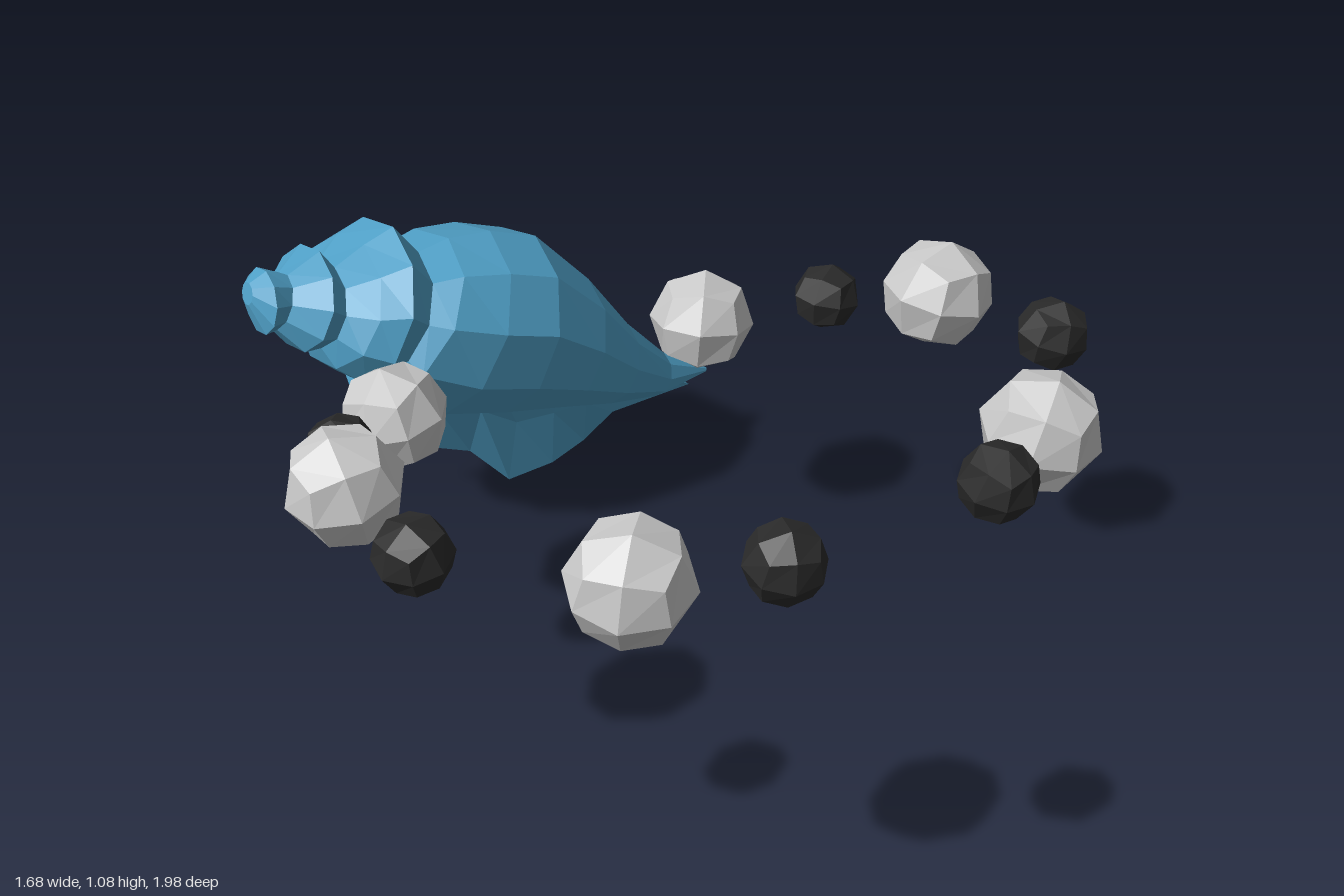
import * as THREE from 'three';

const mat = (name, color) => {
  const m = new THREE.MeshStandardMaterial({ color, flatShading: true });
  m.name = name;
  return m;
};

// Joins rings of points (ordered counter-clockwise around +x) into a faceted, capped skin
function loft(rings) {
  const pos = [];
  const tri = (...pts) => pts.forEach((p) => pos.push(p.x, p.y, p.z));
  const n = rings[0].length;
  for (let i = 0; i < rings.length - 1; i++) {
    for (let j = 0; j < n; j++) {
      const k = (j + 1) % n;
      const a = rings[i][j], b = rings[i][k], c = rings[i + 1][k], d = rings[i + 1][j];
      tri(a, b, c);
      tri(a, c, d);
    }
  }
  const first = rings[0], last = rings[rings.length - 1];
  for (let j = 1; j < n - 1; j++) {
    tri(first[0], first[j + 1], first[j]);
    tri(last[0], last[j], last[j + 1]);
  }
  const g = new THREE.BufferGeometry();
  g.setAttribute('position', new THREE.Float32BufferAttribute(pos, 3));
  g.computeVertexNormals();
  return g;
}

// Bead: a cube with 2 x 2 faces per side pushed out to a sphere
function beadGeometry(r) {
  const g = new THREE.BoxGeometry(1, 1, 1, 2, 2, 2).toNonIndexed();
  const p = g.attributes.position, v = new THREE.Vector3();
  for (let i = 0; i < p.count; i++) {
    v.fromBufferAttribute(p, i).setLength(r);
    p.setXYZ(i, v.x, v.y, v.z);
  }
  g.computeVertexNormals();
  return g;
}

export function createModel() {
  const model = new THREE.Group();
  const blue = mat('shell blue', 0x4f9fc6);
  const grey = mat('pearl grey', 0xcacaca);
  const black = mat('bead black', 0x2a2a2a);
  const add = (parent, name, geometry, material) => {
    const m = new THREE.Mesh(geometry, material);
    m.name = name;
    parent.add(m);
    return m;
  };

  // Shell sections from spire to tip: top x, top y, bottom x, bottom y, front z, back z
  const sections = [
    [-0.56, 0.82, -0.575, 0.77, -0.73, -0.79],
    [-0.52, 0.845, -0.56, 0.70, -0.66, -0.84],
    [-0.47, 0.82, -0.53, 0.70, -0.68, -0.82],
    [-0.385, 0.855, -0.49, 0.64, -0.60, -0.91],
    [-0.35, 0.80, -0.44, 0.63, -0.63, -0.89],
    [-0.27, 0.835, -0.43, 0.58, -0.56, -0.97],
    [-0.20, 0.87, -0.375, 0.53, -0.52, -0.98],
    [-0.14, 0.785, -0.33, 0.53, -0.56, -0.94],
    [-0.06, 0.80, -0.345, 0.48, -0.52, -0.98],
    [0.05, 0.79, -0.19, 0.38, -0.495, -1.0],
    [0.17, 0.745, -0.02, 0.33, -0.495, -0.99],
    [0.30, 0.60, 0.14, 0.30, -0.525, -0.90],
    [0.40, 0.45, 0.30, 0.26, -0.57, -0.81],
    [0.52, 0.315, 0.46, 0.215, -0.63, -0.785],
    [0.65, 0.23, 0.64, 0.22, -0.695, -0.715],
  ];
  const SIDES = 10;
  const rings = sections.map(([tx, ty, bx, by, zf, zb]) =>
    Array.from({ length: SIDES }, (_, j) => {
      const a = (j / SIDES) * Math.PI * 2;
      const t = (1 - Math.cos(a)) / 2;
      return new THREE.Vector3(
        tx + (bx - tx) * t, ty + (by - ty) * t,
        (zf + zb) / 2 + (Math.sin(a) * (zf - zb)) / 2);
    }));
  const shell = new THREE.Group();
  shell.name = 'shell';
  model.add(shell);
  add(shell, 'shellBody', loft(rings), blue);

  // Flared, spiky lip below the body: root x, root y, edge x, edge y, edge z
  const lip = [
    [-0.24, 0.43, -0.26, 0.33, -0.80],
    [-0.15, 0.41, -0.16, 0.265, -0.82],
    [-0.07, 0.41, -0.12, 0.145, -0.875],
    [0.02, 0.40, 0.0, 0.12, -0.82],
    [0.11, 0.38, 0.1, 0.005, -0.80],
    [0.20, 0.36, 0.21, 0.045, -0.76],
    [0.30, 0.32, 0.35, 0.02, -0.84],
    [0.39, 0.29, 0.4, 0.135, -0.77],
    [0.56, 0.23, 0.6, 0.19, -0.71],
  ];
  const lipRings = lip.map(([ix, iy, ex, ey, ez], i) => {
    const end = i === lip.length - 1;
    const zf = end ? -0.67 : -0.69, zb = end ? -0.74 : -0.85;
    const at = (t, z) => new THREE.Vector3(ix + (ex - ix) * t, iy + (ey - iy) * t, z);
    return [
      at(0, zf), at(0.45, (zf + ez) / 2 - 0.01), at(1, ez),
      at(0.45, (zb + ez) / 2 + 0.01), at(0, zb),
    ];
  });
  add(shell, 'shellLip', loft(lipRings), blue);

  // Beads in mirrored pairs around the necklace: x, y, z, large or small
  const large = beadGeometry(0.124), small = beadGeometry(0.079);
  const beads = [
    [0.235, 1.01, 0.92, false],
    [0.46, 0.96, 0.775, true],
    [0.74, 0.935, 0.48, false],
    [0.72, 0.86, 0.125, true],
    [0.615, 0.745, -0.145, false],
    [0.403, 0.64, -0.35, true],
  ];
  for (const [x, y, z, big] of beads) {
    for (const s of [1, -1]) {
      const side = s > 0 ? 'Left' : 'Right';
      const b = add(model, (big ? 'largeBead' : 'smallBead') + side,
        big ? large : small, big ? grey : black);
      b.position.set(s * x, y, z);
      b.rotation.set(0.2, s * Math.atan2(x, z - 0.25), s * 0.06, 'YXZ');
    }
  }
  return model;
}
